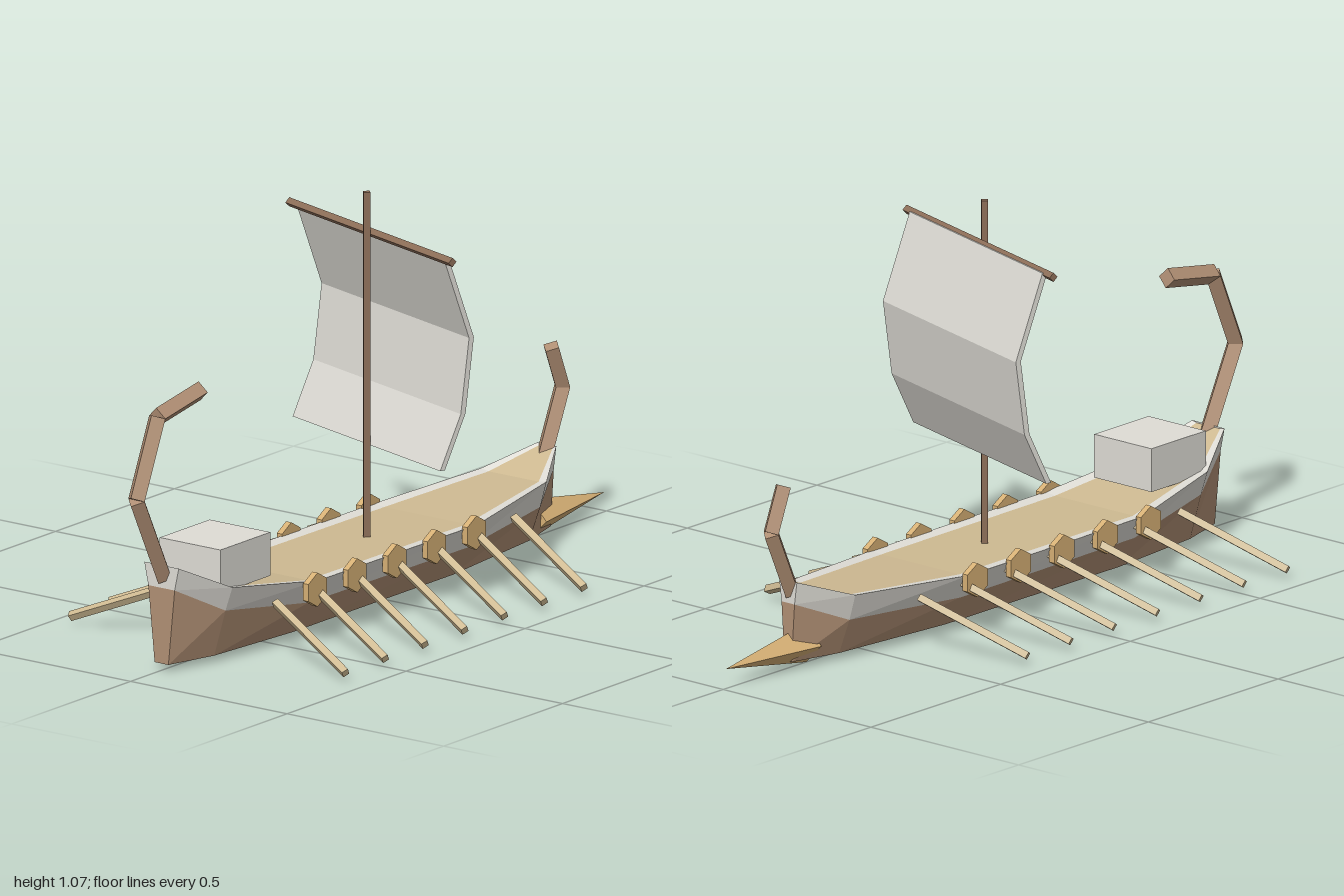
import * as THREE from 'three';

const flat = (name, color) => new THREE.MeshStandardMaterial({ name, color, flatShading: true });

export function createModel() {
  const ship = new THREE.Group();
  ship.name = 'galley';
  const wood = flat('hull wood', 0xb08f74);
  const darkWood = flat('mast wood', 0x8d6e58);
  const canvas = flat('pale canvas', 0xdedcd5);
  const planks = flat('deck planks', 0xcdb991);
  const bronze = flat('bronze', 0xd6b075);

  const add = (name, geometry, material, parent = ship) => {
    const mesh = new THREE.Mesh(geometry, material);
    mesh.name = name;
    parent.add(mesh);
    return mesh;
  };

  // Square-section bar between two points
  const bar = (name, a, b, radius, material, parent = ship) => {
    const p = new THREE.Vector3(...a), q = new THREE.Vector3(...b);
    const dir = q.clone().sub(p);
    const mesh = add(name, new THREE.CylinderGeometry(radius, radius, dir.length(), 4), material, parent);
    mesh.position.copy(p).add(q).multiplyScalar(0.5);
    mesh.quaternion.setFromUnitVectors(new THREE.Vector3(0, 1, 0), dir.normalize());
    return mesh;
  };

  // Hull stations: x, rail height, rail half width, deck half width, wale height, wale half width, keel half width
  const stations = [
    [-0.87, 0.28, 0.055, 0.04, 0.22, 0.042, 0.022],
    [-0.73, 0.21, 0.12, 0.09, 0.145, 0.098, 0.062],
    [-0.43, 0.168, 0.165, 0.132, 0.105, 0.135, 0.088],
    [0.24, 0.165, 0.165, 0.132, 0.1, 0.135, 0.088],
    [0.61, 0.185, 0.105, 0.08, 0.115, 0.085, 0.05],
    [0.75, 0.235, 0.03, 0.02, 0.175, 0.022, 0.012],
  ];
  const rings = stations.map(([x, railY, rail, deck, waleY, wale, keel]) => {
    const half = [[0.02, keel], [waleY, wale], [railY, rail], [railY - 0.004, deck]];
    return [
      ...half.map(([y, z]) => [x, y, z]),
      ...half.reverse().map(([y, z]) => [x, y, -z]),
    ];
  });
  const quad = (out, a, b, c, d) => out.push(...a, ...b, ...c, ...a, ...c, ...d);
  const skin = (name, material, sides, caps) => {
    const out = [];
    for (const j of sides) {
      const k = (j + 1) % 8;
      for (let i = 0; i < rings.length - 1; i++) {
        quad(out, rings[i][j], rings[i + 1][j], rings[i + 1][k], rings[i][k]);
      }
    }
    const stern = rings[0], bow = rings[rings.length - 1];
    for (const [a, b, c, d] of caps) {
      quad(out, stern[a], stern[b], stern[c], stern[d]);
      quad(out, bow[d], bow[c], bow[b], bow[a]);
    }
    const g = new THREE.BufferGeometry();
    g.setAttribute('position', new THREE.Float32BufferAttribute(out, 3));
    g.computeVertexNormals();
    add(name, g, material);
  };
  skin('hull', wood, [0, 6, 7], [[0, 1, 6, 7]]);
  skin('bulwark', canvas, [1, 2, 4, 5], [[1, 2, 5, 6], [2, 3, 4, 5]]);
  skin('deck', planks, [3], []);

  // Curved stem and stern posts
  const post = (name, points, radius) => {
    const group = new THREE.Group();
    group.name = name;
    ship.add(group);
    for (let i = 0; i < points.length - 1; i++) {
      bar(name + 'Segment', [...points[i], 0], [...points[i + 1], 0], radius, wood, group);
    }
  };
  post('sternPost', [[-0.86, 0.245], [-0.975, 0.475], [-0.888, 0.675], [-0.71, 0.705]], 0.026);
  post('stemPost', [[0.735, 0.2], [0.815, 0.375], [0.768, 0.49]], 0.025);

  // Ram at the waterline
  const ram = add('ram', new THREE.ConeGeometry(0.052, 0.31, 4), bronze);
  ram.rotation.z = -Math.PI / 2;
  ram.position.set(0.835, 0.054, 0);

  // Stern cabin
  add('cabin', new THREE.BoxGeometry(0.21, 0.115, 0.194), canvas).position.set(-0.645, 0.252, 0);

  // Mast, yard and sail
  bar('mast', [-0.008, 0.15, 0], [-0.008, 1.073, 0], 0.012, darkWood);
  const rig = new THREE.Group();
  rig.name = 'rig';
  rig.position.x = 0.01;
  rig.rotation.y = -0.29;
  ship.add(rig);
  bar('yard', [0, 0.962, -0.352], [0, 0.962, 0.352], 0.012, darkWood, rig);
  const profile = [[0.012, 0.966], [0.092, 0.742], [0.066, 0.545], [0.001, 0.405]];
  const outline = [...profile, ...profile.map(([x, y]) => [x - 0.015, y]).reverse()];
  const sailShape = new THREE.Shape(outline.map(([x, y]) => new THREE.Vector2(x, y)));
  const sailGeometry = new THREE.ExtrudeGeometry(sailShape, { depth: 0.636, bevelEnabled: false });
  sailGeometry.translate(0, 0, -0.318);
  add('sail', sailGeometry, canvas, rig);

  // Oars and shields along both sides
  for (const side of [1, -1]) {
    for (let i = 0; i < 7; i++) {
      const x = -0.675 + i * 0.167;
      bar('oar', [x, 0.026, side * 0.44], [x + 0.087, 0.143, side * 0.15], 0.013, planks);
    }
    for (let i = 0; i < 5; i++) {
      const shield = add('shield', new THREE.CylinderGeometry(0.045, 0.045, 0.017, 6), bronze);
      shield.rotation.x = Math.PI / 2;
      shield.position.set(-0.447 + i * 0.167, 0.15, side * 0.169);
    }
  }
  return ship;
}
